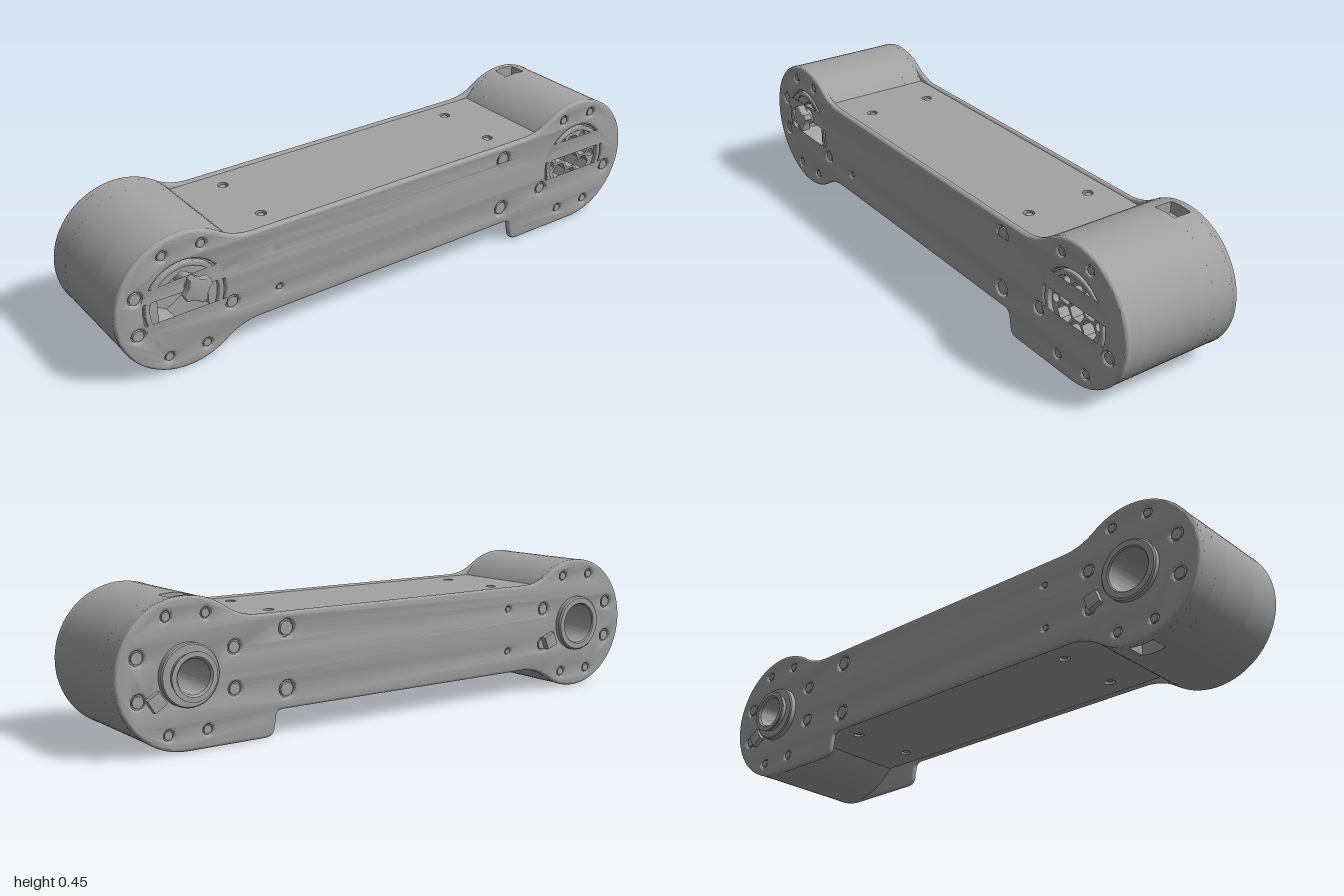
import * as THREE from 'three';
import { toCreasedNormals } from 'three/addons/utils/BufferGeometryUtils.js';

const CX = 0.775, CY = 0.225, R = 0.225; // drum centres and radius
const BEAM_TOP = 0.375, BEAM_BOTTOM = 0.08, FILLET = 0.2;
const metal = new THREE.MeshStandardMaterial({ color: 0xa3a3a3 });
metal.name = 'grey metal';

function add(parent, name, geometry, x = 0, y = 0, z = 0) {
  const mesh = new THREE.Mesh(geometry, metal);
  mesh.name = name;
  mesh.position.set(x, y, z);
  parent.add(mesh);
  return mesh;
}

const circle = (x, y, r) => new THREE.Path().absarc(x, y, r, 0, Math.PI * 2, false);

function polygon(x, y, r, n, turn = 0) {
  const pts = [];
  for (let i = 0; i < n; i++) {
    const a = turn + (i / n) * Math.PI * 2;
    pts.push(new THREE.Vector2(x + r * Math.cos(a), y + r * Math.sin(a)));
  }
  return new THREE.Path(pts);
}

// Extrudes a shape from z0 to z1, with an optional rounded edge
function slab(shape, z0, z1, bevel = 0, curveSegments = 32) {
  const g = new THREE.ExtrudeGeometry(shape, {
    depth: z1 - z0 - 2 * bevel, curveSegments, bevelEnabled: bevel > 0,
    bevelThickness: bevel, bevelSize: bevel, bevelOffset: -bevel, bevelSegments: 3,
  });
  g.translate(0, 0, z0 + bevel);
  return toCreasedNormals(g, 0.6);
}

function disc(r, holes = []) {
  const s = new THREE.Shape().absarc(0, 0, r, 0, Math.PI * 2, false);
  s.holes.push(...holes);
  return s;
}

// Disc with a rectangular notch cut in its rim, at the top (side 1) or bottom (side -1)
function notchedDisc(r, side, holes) {
  const half = 0.04, d = Math.asin(half / r), mid = side * Math.PI / 2;
  const s = new THREE.Shape().absarc(0, 0, r, mid + d, mid - d + Math.PI * 2, false);
  s.lineTo(side * half, side * (r - 0.04));
  s.lineTo(-side * half, side * (r - 0.04));
  s.closePath();
  s.holes.push(...holes);
  return s;
}

// Bone-shaped outline of the side plates, with a foot under one end
function plateOutline() {
  const up = BEAM_TOP + FILLET - CY, down = CY - BEAM_BOTTOM + FILLET, reach = R + FILLET;
  const dxT = Math.sqrt(reach * reach - up * up), dxB = Math.sqrt(reach * reach - down * down);
  const A = Math.atan2(up, -dxT), B = Math.atan2(down, dxB), H = Math.PI / 2;
  const s = new THREE.Shape();
  s.moveTo(-CX + dxB, BEAM_BOTTOM);
  s.lineTo(0.455, BEAM_BOTTOM);
  s.quadraticCurveTo(0.48, BEAM_BOTTOM, 0.48, 0.055);
  s.lineTo(0.485, 0.028);
  s.quadraticCurveTo(0.488, 0, 0.52, 0);
  s.lineTo(CX, 0);
  s.absarc(CX, CY, R, -H, A, false);
  s.absarc(CX - dxT, BEAM_TOP + FILLET, FILLET, A - Math.PI, -H, true);
  s.absarc(-CX + dxT, BEAM_TOP + FILLET, FILLET, -H, -A, true);
  s.absarc(-CX, CY, R, Math.PI - A, 2 * Math.PI - B, false);
  s.absarc(-CX + dxB, BEAM_BOTTOM - FILLET, FILLET, Math.PI - B, H, true);
  return s;
}

// Bolt positions: eight round each drum, two by the foot, two small ones on the beam
const bolts = [];
for (const cx of [-CX, CX])
  for (const sx of [-1, 1])
    for (const sy of [-1, 1]) {
      bolts.push([cx + sx * 0.155, CY + sy * 0.062, 0.022]);
      bolts.push([cx + sx * 0.063, CY + sy * 0.17, 0.016]);
    }
for (const y of [0.14, 0.325]) bolts.push([0.44, y, 0.027]);
for (const y of [0.155, 0.3]) bolts.push([-0.455, y, 0.011]);

function sidePlate(name, z0, z1, holeRadii) {
  const group = new THREE.Group();
  group.name = name;
  const s = plateOutline();
  s.holes.push(circle(-CX, CY, holeRadii[0]), circle(CX, CY, holeRadii[1]));
  for (const [x, y, r] of bolts) s.holes.push(circle(x, y, r));
  add(group, 'plate', slab(s, z0, z1, 0.008, 24));
  const inner = z1 > 0 ? z1 - 0.014 : z0 + 0.014;
  for (const [x, y, r] of bolts) {
    const bolt = add(group, 'bolt', new THREE.CylinderGeometry(r * 0.8, r * 0.8, 0.02, 16), x, y, inner);
    bolt.rotation.x = Math.PI / 2;
  }
  return group;
}

// Hollow turned collar along -z, from [radius, height] points
function collar(parent, name, points) {
  const pts = points.map(([r, h]) => new THREE.Vector2(r, h));
  const g = toCreasedNormals(new THREE.LatheGeometry(pts, 40), 0.6);
  add(parent, name, g, 0, 0, -0.2).rotation.x = -Math.PI / 2;
}

export function createModel() {
  const model = new THREE.Group();
  model.name = 'robot arm link';

  model.add(sidePlate('frontPlate', 0.188, 0.21, [0.135, 0.135]));
  model.add(sidePlate('backPlate', -0.205, -0.183, [0.08, 0.08]));

  // Beam core with screwed cover panels, slightly below the plate edges
  add(model, 'beamCore', new THREE.BoxGeometry(1.24, 0.26, 0.38), 0, 0.2275, 0.002);
  const cover = new THREE.Shape([[-0.62, -0.19], [0.62, -0.19], [0.62, 0.19], [-0.62, 0.19]]
    .map(([x, y]) => new THREE.Vector2(x, y)));
  const screws = [];
  for (const x of [-0.455, 0.445]) for (const z of [-0.113, 0.113]) screws.push([x, z]);
  for (const [x, z] of screws) cover.holes.push(circle(x, z, 0.017));
  const coverGeometry = slab(cover, 0, 0.015, 0, 10);
  for (const [name, y, sign] of [['topCover', 0.355, -1], ['bottomCover', 0.1, 1]]) {
    add(model, name, coverGeometry, 0, y, 0.002).rotation.x = sign * Math.PI / 2;
    for (const [x, z] of screws)
      add(model, 'coverScrew', new THREE.CylinderGeometry(0.011, 0.011, 0.02, 12), x, y, z);
  }

  // Drums, stacked from slices so that the bores and rim notch are real
  const honeycomb = [polygon(0, 0, 0.032, 6)];
  for (let i = 0; i < 6; i++) {
    const a = Math.PI / 6 + i * Math.PI / 3;
    honeycomb.push(polygon(0.063 * Math.cos(a), 0.063 * Math.sin(a), 0.031, 6));
    honeycomb.push(circle(0.095 * Math.cos(a + Math.PI / 6), 0.095 * Math.sin(a + Math.PI / 6), 0.014));
  }
  const ends = [
    { name: 'hexDrum', x: -CX, side: -1, front: [polygon(0, 0, 0.095, 6, Math.PI / 6)], floor: 0.08, bore: 0.068 },
    { name: 'gridDrum', x: CX, side: 1, front: honeycomb, floor: 0.15, bore: 0.052 },
  ];
  for (const { name, x, side, front, floor, bore } of ends) {
    const drum = new THREE.Group();
    drum.name = name;
    drum.position.set(x, CY, 0);
    model.add(drum);
    const r = R - 0.001, hole = [circle(0, 0, bore)];
    add(drum, 'frontSlice', slab(disc(r, front), floor, 0.194));
    add(drum, 'middleSlice', slab(disc(r), -0.06, floor));
    add(drum, 'boreSlice', slab(disc(r, hole), -0.115, -0.06));
    add(drum, 'notchedSlice', slab(notchedDisc(r, side, hole), -0.178, -0.115));
    add(drum, 'backSlice', slab(disc(r, hole), -0.195, -0.178));
    add(drum, 'frontRing', slab(disc(0.129, [circle(0, 0, 0.113)]), 0.19, 0.209, 0.003));
  }
  const [hexDrum, gridDrum] = ['hexDrum', 'gridDrum'].map((n) => model.getObjectByName(n));

  // Back collars and their locating keys
  collar(hexDrum, 'lowCollar', [[0.068, -0.02], [0.095, -0.02], [0.095, 0.02], [0.09, 0.025], [0.072, 0.025], [0.068, 0.021], [0.068, -0.02]]);
  collar(gridDrum, 'tallCollar', [[0.052, -0.02], [0.094, -0.02], [0.094, 0.022], [0.09, 0.026], [0.066, 0.026],
    [0.066, 0.038], [0.073, 0.046], [0.073, 0.049], [0.058, 0.049], [0.052, 0.042], [0.052, -0.02]]);
  add(hexDrum, 'key', new THREE.BoxGeometry(0.045, 0.045, 0.04), 0.132, -0.05, -0.202).rotation.z = -0.36;
  add(gridDrum, 'key', new THREE.BoxGeometry(0.045, 0.045, 0.04), 0.105, -0.065, -0.202).rotation.z = -0.55;

  // Lobed knob standing in the hexagonal socket
  const knob = new THREE.Group();
  knob.name = 'knob';
  knob.position.set(0.025, 0.05, 0);
  hexDrum.add(knob);
  add(knob, 'stem', slab(disc(0.027), 0.07, 0.23));
  const lobes = [];
  for (let i = 0; i < 16; i++) {
    const a = (i + 0.5) * Math.PI / 8, r = i % 4 < 2 ? 0.047 : 0.034;
    lobes.push(new THREE.Vector2(r * Math.cos(a), r * Math.sin(a)));
  }
  add(knob, 'head', slab(new THREE.Shape(lobes), 0.224, 0.252, 0.003));

  return model;
}
